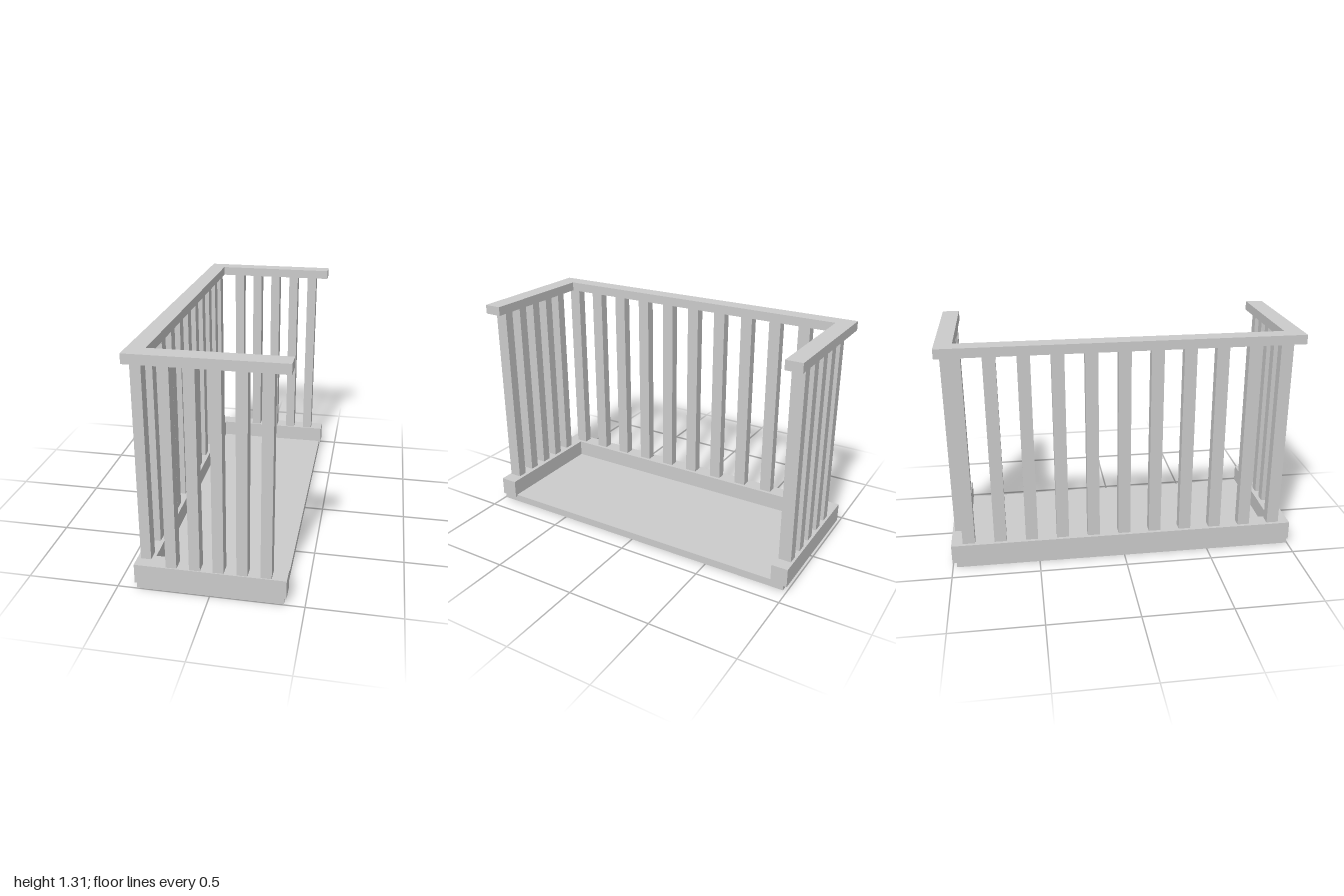
import * as THREE from 'three';

const material = new THREE.MeshStandardMaterial({ color: 0xcccccc, flatShading: true });

function addBox(parent, name, [x0, x1], [y0, y1], [z0, z1]) {
  const mesh = new THREE.Mesh(new THREE.BoxGeometry(x1 - x0, y1 - y0, z1 - z0), material);
  mesh.position.set((x0 + x1) / 2, (y0 + y1) / 2, (z0 + z1) / 2);
  mesh.name = name;
  parent.add(mesh);
}

// U-shaped band in plan: a long side at -x with two arms towards +x
function addBand(parent, name, bottom, top) {
  const plan = [
    [-0.405, -1], [0.4, -1], [0.4, -0.905], [-0.31, -0.905],
    [-0.31, 0.898], [0.403, 0.898], [0.403, 1], [-0.405, 1],
  ];
  const shape = new THREE.Shape(plan.map(([x, z]) => new THREE.Vector2(x, z)));
  const geometry = new THREE.ExtrudeGeometry(shape, { depth: top - bottom, bevelEnabled: false });
  geometry.rotateX(Math.PI / 2);
  const mesh = new THREE.Mesh(geometry, material);
  mesh.position.y = top;
  mesh.name = name;
  parent.add(mesh);
}

export function createModel() {
  const model = new THREE.Group();
  model.name = 'balcony';

  // Floor slab, kerb and handrail
  addBox(model, 'floor', [-0.395, 0.39], [0, 0.045], [-0.977, 0.995]);
  addBand(model, 'kerb', 0.035, 0.145);
  addBand(model, 'handrail', 1.257, 1.31);

  // Balusters along the long side
  const height = [0.14, 1.262];
  const longSide = new THREE.Group();
  longSide.name = 'longSideBalusters';
  for (let i = -5; i <= 5; i++) {
    const z = i * 0.18;
    addBox(longSide, 'baluster', [-0.385, -0.329], height, [z - 0.035, z + 0.035]);
  }
  model.add(longSide);

  // Balusters along the two short arms
  for (const [name, z] of [['frontBalusters', 0.958], ['backBalusters', -0.95]]) {
    const arm = new THREE.Group();
    arm.name = name;
    for (let i = 0; i < 5; i++) {
      const x = -0.204 + i * 0.125;
      addBox(arm, 'baluster', [x - 0.029, x + 0.029], height, [z - 0.036, z + 0.036]);
    }
    model.add(arm);
  }
  return model;
}
